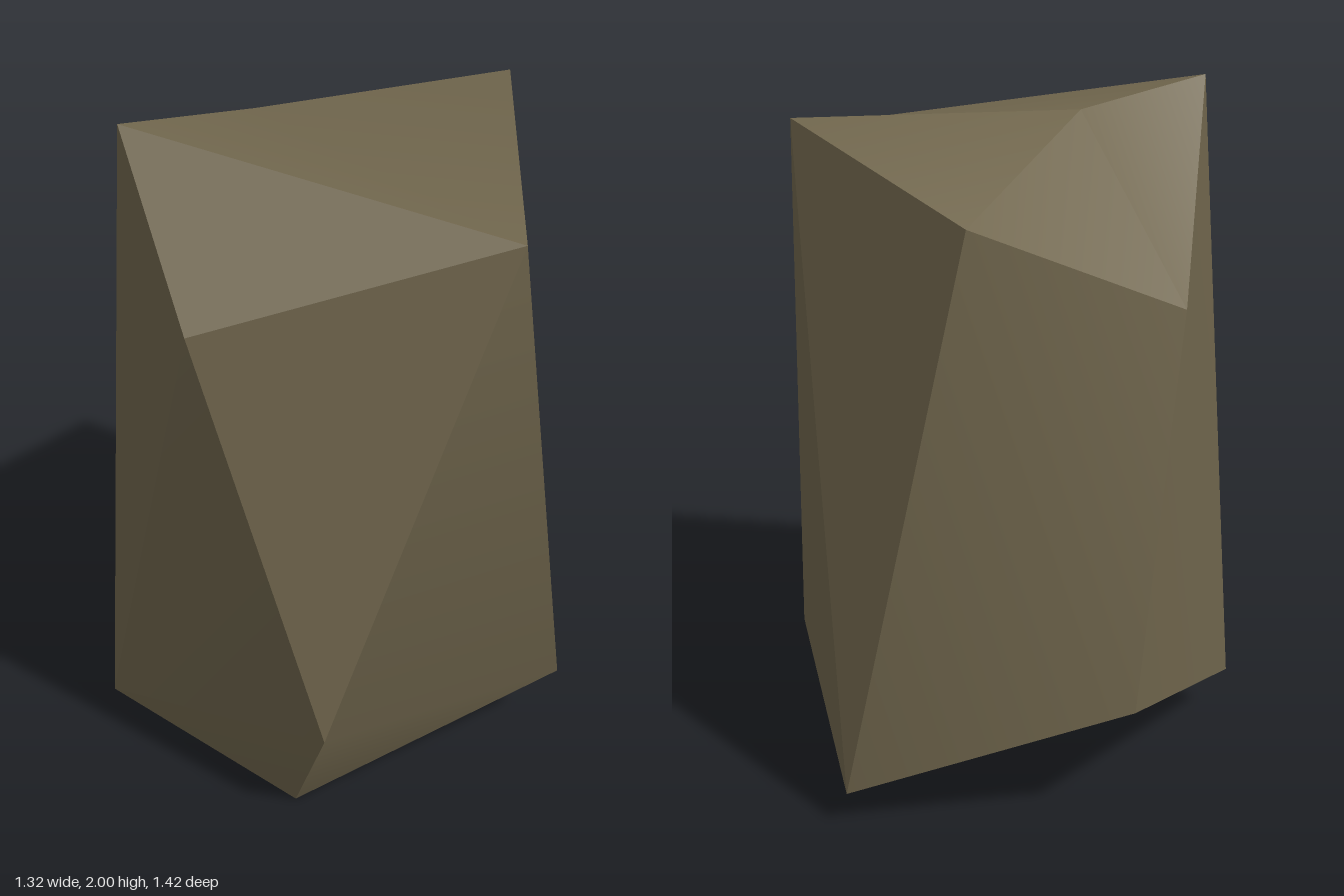
import * as THREE from 'three';
import { toCreasedNormals } from 'three/addons/utils/BufferGeometryUtils.js';

// Corners of the boulder
const corners = {
  // crown
  K: [-0.57, 2.0, -0.15], D: [0.62, 1.95, 0], F: [0.02, 1.815, 0.71],
  B: [0.43, 1.755, -0.575], H: [-0.66, 1.6, 0.26], J: [-0.155, 1.5, -0.66],
  L: [-0.13, 1.94, -0.19], // shallow dent in the top
  // base
  A: [0, 0.41, -0.715], C: [0.655, 0.11, -0.26], E: [0.43, 0.23, 0.56],
  G: [-0.45, 0.4, 0.53], I: [-0.655, 0.15, -0.285], M: [-0.4, 0, 0.32],
};

// Facets by corner name: top, sides, underside
const facets = [
  'LKF', 'LFD', 'LDB', 'LBJ', 'LJK',
  'KFH', 'KHI', 'KIJ', 'HFG', 'HGI', 'FGE', 'FED', 'DEC', 'DCB', 'BCA', 'BAJ', 'JAI',
  'IGM', 'GME', 'IAC', 'ICM', 'MCE',
];

function boulderGeometry() {
  const centre = new THREE.Vector3(0, 1, 0);
  const positions = [];
  for (const name of facets) {
    const tri = [...name].map((k) => new THREE.Vector3(...corners[k]));
    // turn every facet outward
    const normal = new THREE.Triangle(...tri).getNormal(new THREE.Vector3());
    if (normal.dot(tri[0].clone().sub(centre)) < 0) tri.reverse();
    tri.forEach((p) => positions.push(p.x, p.y, p.z));
  }
  const geometry = new THREE.BufferGeometry();
  geometry.setAttribute('position', new THREE.Float32BufferAttribute(positions, 3));
  // soft across shallow edges, sharp across steep ones
  return toCreasedNormals(geometry, THREE.MathUtils.degToRad(30));
}

export function createModel() {
  const group = new THREE.Group();
  group.name = 'rock';
  const stone = new THREE.MeshStandardMaterial({ color: 0x6f654c });
  stone.name = 'brown stone';
  const boulder = new THREE.Mesh(boulderGeometry(), stone);
  boulder.name = 'boulder';
  group.add(boulder);
  return group;
}
